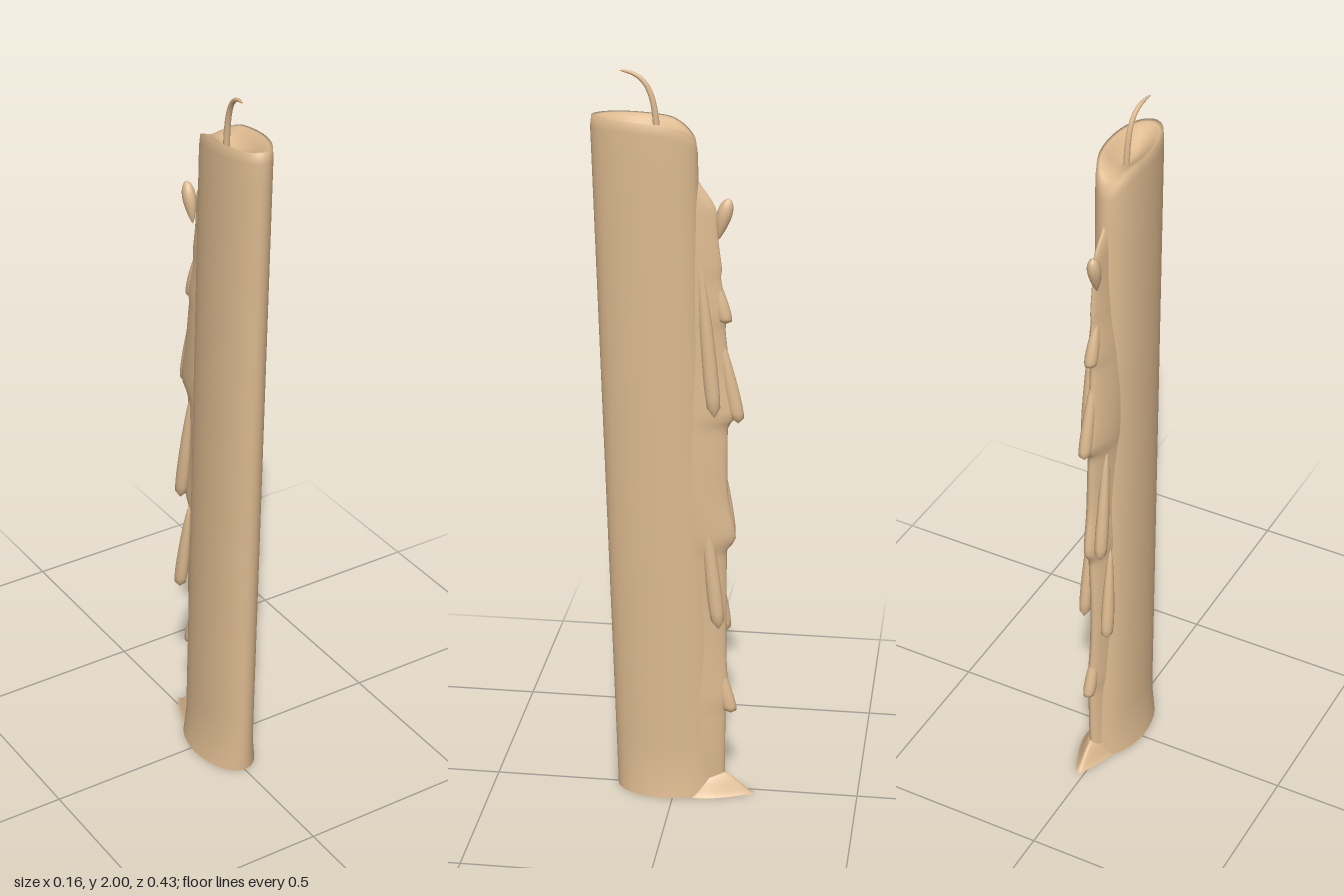
import * as THREE from 'three';

const WAX = new THREE.MeshStandardMaterial({ color: 0xdcb98f });
const steps = n => Array.from({ length: n + 1 }, (_, i) => i / n);

// Skins a stack of closed rings; ring(row, angle) gives [x, y, z]. Angle 0 faces +z.
function loft(name, rows, sides, ring) {
  const pos = [], index = [];
  rows.forEach((row, i) => {
    for (let j = 0; j < sides; j++) {
      pos.push(...ring(row, (j / sides) * Math.PI * 2));
      if (i === rows.length - 1) continue;
      const k = (j + 1) % sides, a = i * sides + j, b = i * sides + k;
      index.push(a, b, b + sides, a, b + sides, a + sides);
    }
  });
  const geo = new THREE.BufferGeometry();
  geo.setAttribute('position', new THREE.Float32BufferAttribute(pos, 3));
  geo.setIndex(index);
  geo.computeVertexNormals();
  const mesh = new THREE.Mesh(geo, WAX);
  mesh.name = name;
  return mesh;
}

// Rim height: nearly level, melted away towards the back
function rimHeight(z) {
  const back = Math.max(0, 0.03 - z);
  return 1.875 + 0.012 * Math.sin(Math.max(0, z) * 7.2) - 7 * back * back;
}

// Leaning oval candle: flat base, straight wall, rounded rim and melted hollow
function makeBody() {
  const base = [{ t: 0, s: 0, drop: 0 }, { t: 0, s: 1, drop: 0 }];
  const wall = steps(24).map(u => ({ t: 0.985 * u, s: 1, drop: 0 }));
  const hollow = steps(10).map(u => ({ t: 1, s: 0.97 * (1 - u), drop: 0.038 * Math.sin(u * Math.PI / 2) ** 1.5 }));
  return loft('candleBody', [...base, ...wall, ...hollow], 56, ({ t, s, drop }, a) => {
    const front = 0.16 + 0.057 * t, back = -0.12 + 0.065 * t;
    const halfWidth = 0.066 - 0.003 * t + 0.012 * Math.max(0, 1 - t * 25);
    const z = (front + back) / 2 + s * Math.cos(a) * (front - back) / 2;
    return [0.003 + 0.01 * t + s * halfWidth * Math.sin(a), t * rimHeight(z) - drop, z];
  });
}

// Lumps where runs of wax have set: sharp below, trailing off above
const LUMPS = [[0.28, 0.008], [0.75, 0.024], [1.1, 0.028], [1.37, 0.012], [1.5, 0.008]];

function ridgeDepth(y) {
  const { smoothstep } = THREE.MathUtils;
  let depth = 0.137 - 0.032 * smoothstep(y, 1.2, 1.6) - 0.06 * smoothstep(y, 1.64, 1.76);
  for (const [at, size] of LUMPS) depth += size * Math.exp(-(((y - at) / (y < at ? 0.018 : 0.09)) ** 2));
  return depth;
}

// Ridge of run-down wax along the back, narrowing rearwards and upwards
function makeRidge() {
  return loft('waxRidge', steps(100).map(u => 1.8 * u), 28, (y, a) => {
    const c = Math.cos(a), rear = -ridgeDepth(y), root = 0.02;
    const w = 0.05 - 0.03 * THREE.MathUtils.smoothstep(y, 1.1, 1.8);
    const cx = 0.012 + 0.004 * Math.sin(y * 9);
    return [cx + w * Math.sin(a) * (0.75 + 0.25 * c), y, (root + rear) / 2 + c * (root - rear) / 2];
  });
}

// Hanging drips: [x, tip height, length, tip z, lean in z towards the top]
function makeDrips() {
  const group = new THREE.Group();
  group.name = 'waxDrips';
  const drips = [
    [0.005, 1.57, 0.11, -0.108, -0.025],
    [0.014, 1.35, 0.13, -0.13, 0.03],
    [0.015, 1.08, 0.24, -0.165, 0.05],
    [-0.018, 0.74, 0.34, -0.142, 0.05],
    [-0.03, 0.46, 0.28, -0.13, 0.04],
    [0.044, 0.5, 0.42, -0.12, 0.05],
    [0.016, 0.24, 0.16, -0.152, 0.04],
    [0.04, 1.1, 0.46, -0.105, 0.045],
  ];
  for (const [x, y, length, z, lean] of drips) {
    // The run with positive lean swells near its tip; the one curling outwards swells near its top
    const swell = lean > 0 ? 0.45 : 1.5;
    group.add(loft('waxDrip', steps(16), 12, (t, a) => {
      const r = 0.017 * Math.sqrt(Math.max(0, Math.sin(Math.PI * t ** swell)));
      return [x * (1 - 0.3 * t) + r * Math.sin(a), y + length * t, z + lean * t + 1.2 * r * Math.cos(a)];
    }));
  }
  return group;
}

// Wax pooled at the foot, spreading rearwards
function makeFoot() {
  const dome = steps(10).map(u => [0.065 * u ** 1.5, Math.sqrt(1 - u)]);
  return loft('waxFoot', [[0, 0], [0, 1], ...dome], 28, ([y, s], a) => {
    const c = Math.cos(a);
    return [0.018 + s * 0.075 * Math.sin(a) * (0.65 + 0.35 * c), y, -0.11 + s * 0.108 * c];
  });
}

// Curved wick tapering to its closed tip
function makeWick() {
  const curve = new THREE.CubicBezierCurve3(
    new THREE.Vector3(0.006, 1.82, 0.048), new THREE.Vector3(0.006, 1.95, 0.05),
    new THREE.Vector3(0.004, 1.995, 0.075), new THREE.Vector3(-0.01, 1.995, 0.146));
  return loft('wick', [0, ...steps(20), 1], 8, curveRing(curve));
}

// Rings square to a curve bending in the yz plane
function curveRing(curve) {
  return (t, a) => {
    const p = curve.getPoint(t), dir = curve.getTangent(t);
    const side = new THREE.Vector3(1, 0, 0).addScaledVector(dir, -dir.x).normalize();
    const out = side.clone().cross(dir);
    const r = 0.009 * Math.sqrt(Math.max(0, 1 - t ** 8)) * (1 - 0.45 * t);
    return p.addScaledVector(side, r * Math.sin(a)).addScaledVector(out, r * Math.cos(a)).toArray();
  };
}

export function createModel() {
  const model = new THREE.Group();
  model.name = 'candle';
  model.add(makeBody(), makeRidge(), makeDrips(), makeFoot(), makeWick());
  return model;
}
